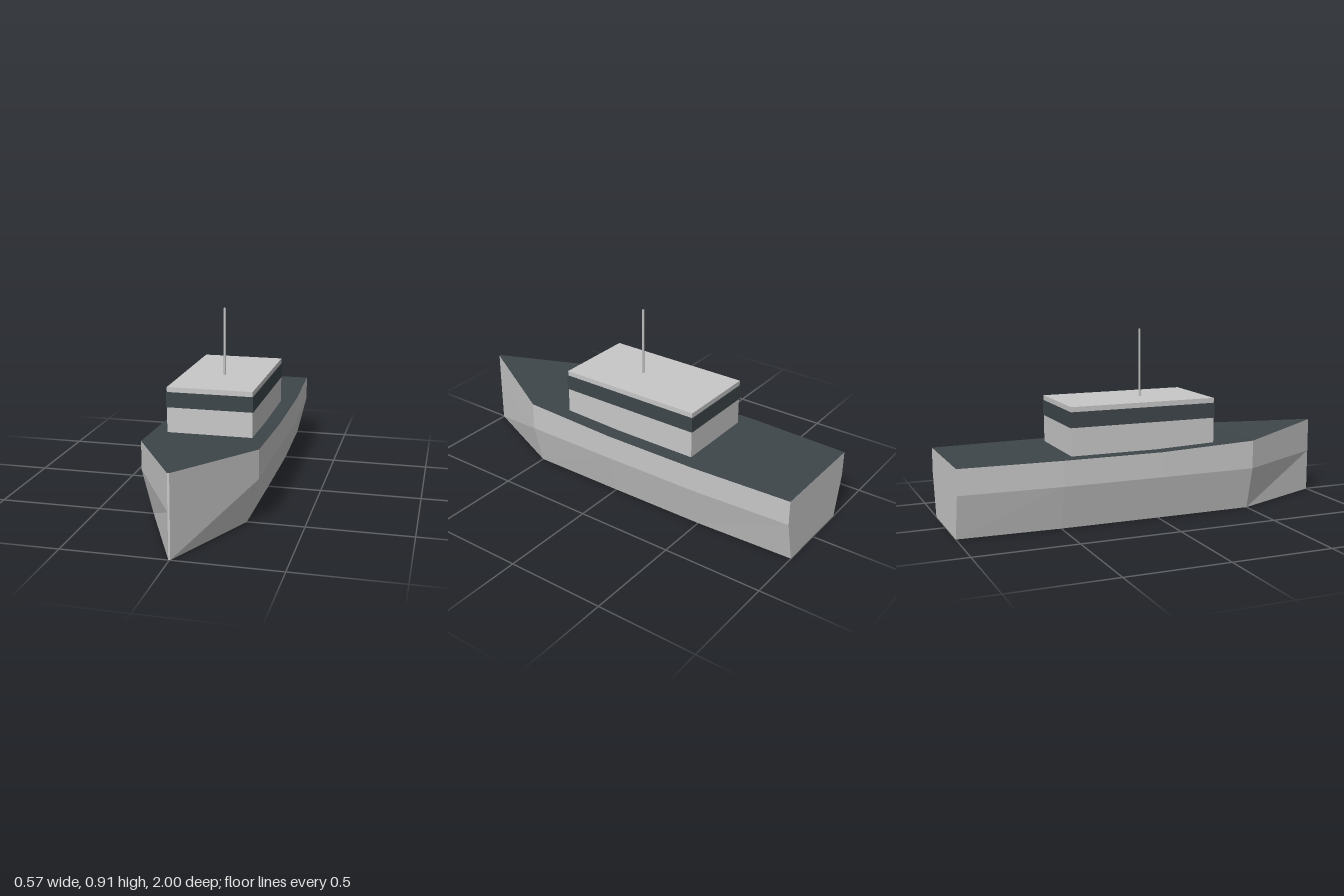
import * as THREE from 'three';

const lightGrey = new THREE.MeshStandardMaterial({ color: 0xc8c8c8 });
lightGrey.name = 'light grey';
const darkSlate = new THREE.MeshStandardMaterial({ color: 0x3e464a });
darkSlate.name = 'dark slate';

const KNUCKLE = 0.215;
// Hull stations from stern to bow: z, half beam, deck height
const STATIONS = [
  [-1, 0.264, 0.339],
  [-0.5, 0.286, 0.339],
  [0, 0.286, 0.339],
  [0.5, 0.282, 0.357],
  [1, 0.005, 0.389],
];

// Cross-section: left deck edge, knuckle, keel edge, then mirrored back up
function section([z, w, deck]) {
  const left = [[w, deck], [w, KNUCKLE], [w * 0.805, 0]];
  const right = left.map(([x, y]) => [-x, y]).reverse();
  return [...left, ...right].map(([x, y]) => new THREE.Vector3(x, y, z));
}

// Unshared triangles keep every panel flat
function panels(quads) {
  const points = quads.flatMap(([a, b, c, d]) => [a, b, c, a, c, d]);
  const geometry = new THREE.BufferGeometry().setFromPoints(points);
  geometry.computeVertexNormals();
  return geometry;
}

function add(group, name, geometry, material, x = 0, y = 0, z = 0) {
  const mesh = new THREE.Mesh(geometry, material);
  mesh.name = name;
  mesh.position.set(x, y, z);
  group.add(mesh);
}

export function createModel() {
  const ship = new THREE.Group();
  ship.name = 'ship';

  // Hull plating and deck lofted between stations
  const rings = STATIONS.map(section);
  const plating = [];
  const deck = [];
  for (let i = 0; i < rings.length - 1; i++) {
    const p = rings[i], q = rings[i + 1];
    for (let j = 0; j < 6; j++) {
      const k = (j + 1) % 6;
      (j === 5 ? deck : plating).push([p[j], q[j], q[k], p[k]]);
    }
  }
  // Transom and narrow stem
  const s = rings[0], b = rings[rings.length - 1];
  plating.push([s[0], s[1], s[4], s[5]], [s[1], s[2], s[3], s[4]]);
  plating.push([b[5], b[4], b[1], b[0]], [b[4], b[3], b[2], b[1]]);
  add(ship, 'hull', panels(plating), lightGrey);
  add(ship, 'deck', panels(deck), darkSlate);

  // Cabin with a wraparound window band
  const cabinZ = -0.062;
  add(ship, 'cabin', new THREE.BoxGeometry(0.42, 0.236, 0.75), lightGrey, 0, 0.457, cabinZ);
  add(ship, 'windowBand', new THREE.BoxGeometry(0.427, 0.075, 0.757), darkSlate, 0, 0.513, cabinZ);

  // Mast
  add(ship, 'mast', new THREE.CylinderGeometry(0.0055, 0.0055, 0.34, 8), lightGrey, 0, 0.744, 0);

  return ship;
}
